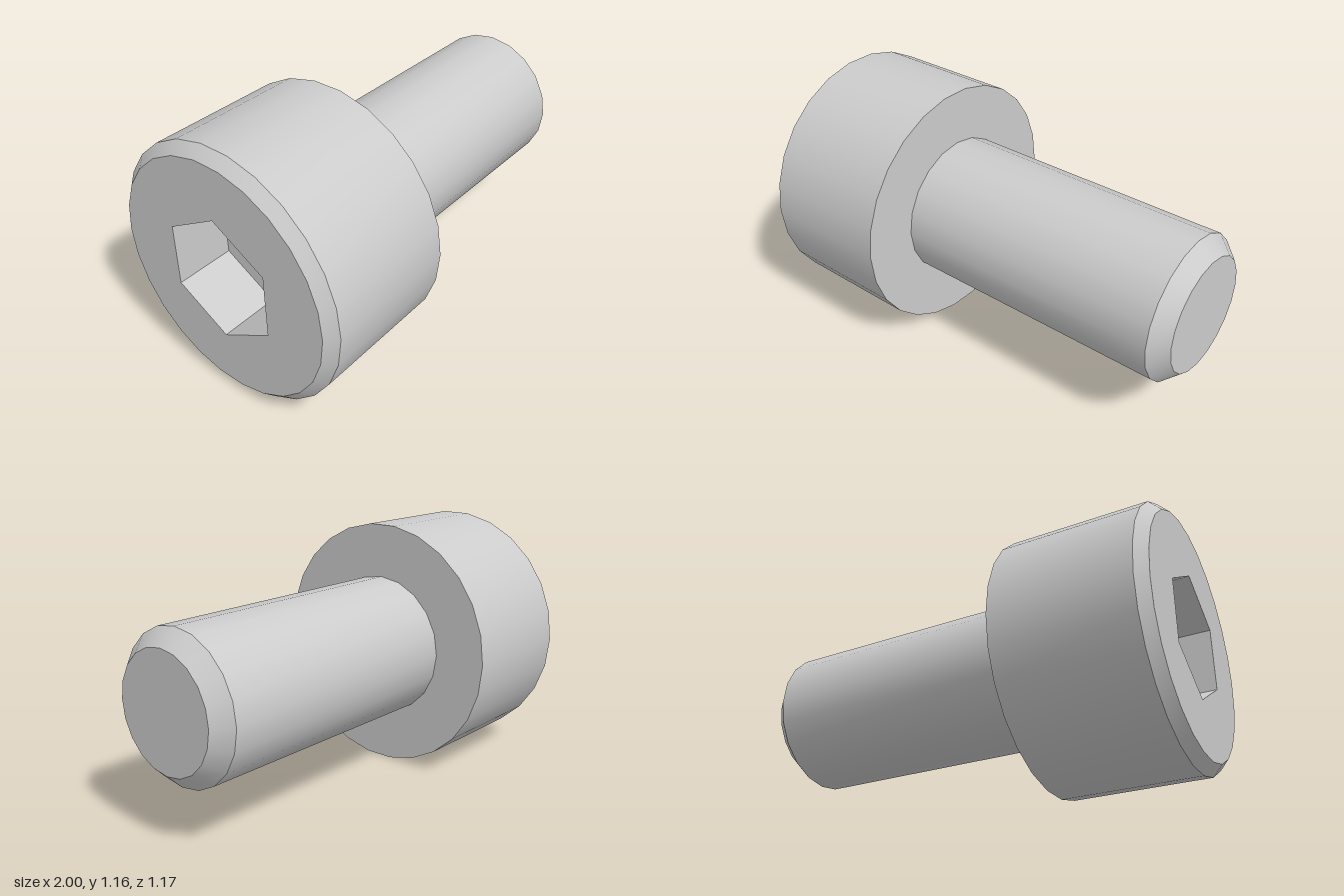
import * as THREE from 'three';
import { toCreasedNormals } from 'three/addons/utils/BufferGeometryUtils.js';

const AXIS_Y = 0.581;     // height of the bolt's axis
const HEAD_SIDES = 26, SHANK_SIDES = 20;
const FACE_R = 0.538, HEX_R = 0.289, SOCKET_DEPTH = 0.27;

const material = new THREE.MeshStandardMaterial({ color: 0xcccccc });

function addPart(group, name, geometry) {
  const mesh = new THREE.Mesh(geometry, material);
  mesh.name = name;
  mesh.position.y = AXIS_Y;
  group.add(mesh);
}

// Turns a profile of [radius, x] pairs around the x axis, keeping edges sharp
function turned(profile, sides, start = 0) {
  const points = profile.map(([r, x]) => new THREE.Vector2(r, x));
  const geometry = new THREE.LatheGeometry(points, sides, start);
  geometry.rotateZ(-Math.PI / 2);
  return toCreasedNormals(geometry, 0.6);
}

function polygon(radius, sides, start = 0) {
  return Array.from({ length: sides }, (_, i) => {
    const a = start + (i / sides) * Math.PI * 2;
    return new THREE.Vector2(radius * Math.cos(a), radius * Math.sin(a));
  });
}

export function createModel() {
  const group = new THREE.Group();
  group.name = 'socketHeadBolt';

  // Head: chamfered rim, side wall and underside
  addPart(group, 'head', turned(
    [[FACE_R, -1], [0.585, -0.953], [0.585, -0.334], [0.3, -0.334]], HEAD_SIDES));

  // End face of the head with the hexagonal opening
  const face = new THREE.Shape(polygon(FACE_R, HEAD_SIDES));
  face.holes.push(new THREE.Path(polygon(HEX_R, 6, Math.PI / 6)));
  addPart(group, 'headFace',
    new THREE.ShapeGeometry(face).rotateY(-Math.PI / 2).translate(-1, 0, 0));

  // Socket: floor and inward-facing walls
  addPart(group, 'hexSocket', turned(
    [[0, -1 + SOCKET_DEPTH], [HEX_R, -1 + SOCKET_DEPTH], [HEX_R, -1]], 6, Math.PI / 2));

  // Shank with chamfered tip
  addPart(group, 'shank', turned(
    [[0.333, -0.334], [0.333, 0.927], [0.262, 1], [0, 1]], SHANK_SIDES));

  return group;
}
